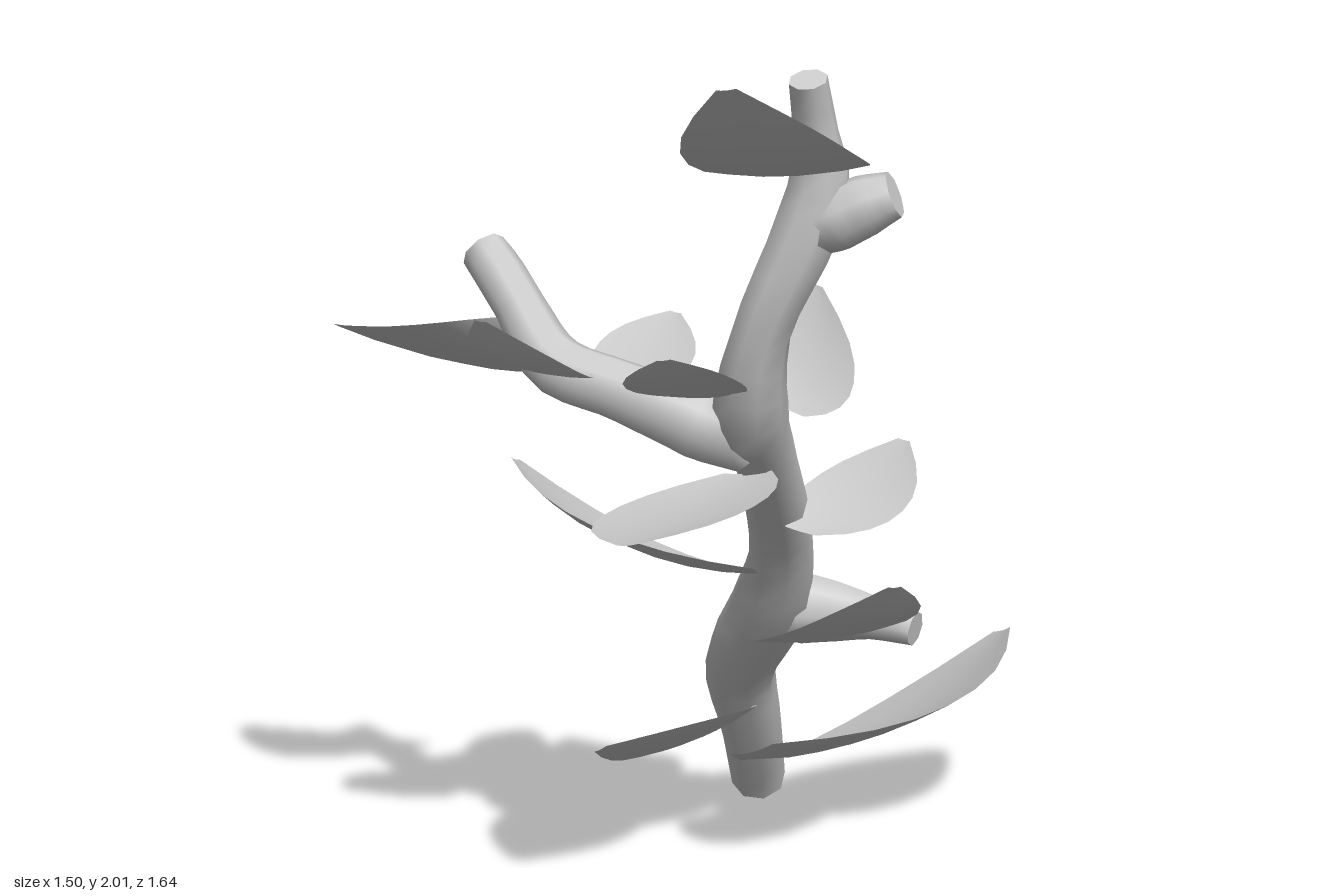
import * as THREE from 'three';
import { toCreasedNormals } from 'three/addons/utils/BufferGeometryUtils.js';

const grey = new THREE.MeshStandardMaterial({ color: 0xcccccc });
const leafGrey = new THREE.MeshStandardMaterial({ color: 0xcccccc, side: THREE.DoubleSide });
const vec = (p) => new THREE.Vector3(p[0], p[1], p[2]);

// Tapered limb through points [x, y, z, radius], with flat closed ends
function limb(name, points, sides = 8) {
  const curve = new THREE.CatmullRomCurve3(points.map(vec), false, 'centripetal');
  const seg = points.length * 3;
  const geo = new THREE.TubeGeometry(curve, seg, 1, sides, false);
  const pos = geo.attributes.position;
  const v = new THREE.Vector3();
  for (let i = 0; i <= seg; i++) {
    // first and last rings collapse to the centre of their neighbours as caps
    const u = THREE.MathUtils.clamp((i - 1) / (seg - 2), 0, 1);
    const oldCentre = curve.getPointAt(i / seg);
    const centre = curve.getPointAt(u);
    const t = curve.getUtoTmapping(u) * (points.length - 1);
    const k = Math.min(Math.floor(t), points.length - 2);
    const isCap = i === 0 || i === seg;
    const r = isCap ? 0 : THREE.MathUtils.lerp(points[k][3], points[k + 1][3], t - k);
    for (let j = 0; j <= sides; j++) {
      const n = i * (sides + 1) + j;
      v.fromBufferAttribute(pos, n).sub(oldCentre).multiplyScalar(r).add(centre);
      pos.setXYZ(n, v.x, v.y, v.z);
    }
  }
  const mesh = new THREE.Mesh(toCreasedNormals(geo, 1), grey);
  mesh.name = name;
  return mesh;
}

// Bowed leaf blade from its base, tip and the two widest edge points
const WIDTH = [0.32, 0.66, 0.87, 0.98, 1, 0.94, 0.78, 0.5, 0.12];
function leaf(name, base, tip, left, right) {
  const B = vec(base), T = vec(tip), L = vec(left), R = vec(right);
  const mid = L.clone().add(R).multiplyScalar(0.5);
  const half = L.clone().sub(R).multiplyScalar(0.5);
  const control = mid.clone().multiplyScalar(2).addScaledVector(B, -0.5).addScaledVector(T, -0.5);
  const rib = new THREE.QuadraticBezierCurve3(B, control, T);
  const dip = half.clone().cross(T.clone().sub(B)).normalize();
  if (dip.y > 0) dip.negate();
  const rows = WIDTH.length - 1, cols = 4;
  const geo = new THREE.PlaneGeometry(1, 1, cols, rows);
  for (let i = 0; i <= rows; i++) {
    for (let j = 0; j <= cols; j++) {
      const s = (j / cols) * 2 - 1;
      const p = rib.getPoint(i / rows).addScaledVector(half, s * WIDTH[i]);
      p.addScaledVector(dip, 0.08 * half.length() * (1 - s * s) * WIDTH[i]);
      geo.attributes.position.setXYZ(i * (cols + 1) + j, p.x, p.y, p.z);
    }
  }
  geo.computeVertexNormals();
  const mesh = new THREE.Mesh(geo, leafGrey);
  mesh.name = name;
  return mesh;
}

export function createModel() {
  const model = new THREE.Group();
  model.name = 'leafyBranch';

  // Woody parts
  model.add(
    limb('mainStem', [
      [-0.315, 0.035, -0.415, 0.068], [-0.24, 0.22, -0.3, 0.075],
      [-0.17, 0.42, -0.18, 0.09], [-0.01, 0.61, -0.1, 0.098], [0.11, 0.8, 0.0, 0.075],
      [0.23, 1.04, 0.19, 0.07], [0.29, 1.2, 0.32, 0.088], [0.365, 1.4, 0.365, 0.066],
      [0.45, 1.62, 0.32, 0.078], [0.48, 1.74, 0.305, 0.072], [0.49, 1.84, 0.335, 0.05], [0.51, 1.965, 0.385, 0.043],
    ]),
    limb('sideBranch', [
      [0.25, 1.1, 0.28, 0.06], [0.19, 1.16, 0.36, 0.088], [0.02, 1.228, 0.45, 0.07],
      [-0.13, 1.278, 0.505, 0.07], [-0.24, 1.39, 0.5, 0.058], [-0.32, 1.465, 0.49, 0.058], [-0.37, 1.505, 0.485, 0.054],
    ]),
    limb('lowerStub', [
      [-0.02, 0.605, -0.105, 0.07], [0.04, 0.6, -0.15, 0.09], [0.12, 0.595, -0.195, 0.074],
      [0.2, 0.59, -0.225, 0.055], [0.31, 0.575, -0.255, 0.042],
    ]),
    limb('upperStub', [
      [0.45, 1.61, 0.33, 0.05], [0.51, 1.65, 0.295, 0.072], [0.57, 1.685, 0.26, 0.068], [0.625, 1.71, 0.23, 0.052],
    ]),
  );

  // Leaves: base, tip, left edge, right edge
  const leaves = {
    lowestBackLeaf: [[-0.12, 0.21, -0.16], [0.14, 0.42, -0.82], [0.26, 0.33, -0.45], [-0.25, 0.115, -0.55]],
    lowestFrontLeaf: [[-0.22, 0.27, -0.21], [-0.24, 0.285, 0.25], [-0.06, 0.345, -0.03], [-0.39, 0.16, -0.05]],
    largeRightLeaf: [[0.07, 0.73, 0.02], [-0.4, 0.99, 0.36], [-0.11, 0.88, 0.4], [-0.395, 0.69, -0.13]],
    lowerLeftLeaf: [[0.13, 0.585, 0.07], [0.53, 0.79, 0.1], [0.36, 0.69, 0.23], [0.35, 0.62, -0.17]],
    middleBackLeaf: [[0.27, 0.88, 0.12], [0.37, 1.065, -0.13], [0.455, 0.93, -0.02], [0.2, 0.96, 0.015]],
    middleFrontLeaf: [[0.25, 1.045, 0.28], [0.3, 0.975, 0.74], [0.43, 1.03, 0.47], [0.03, 0.955, 0.52]],
    forkBackLeaf: [[0.35, 1.2, 0.26], [0.29, 1.45, 0.09], [0.47, 1.265, 0.175], [0.19, 1.33, 0.19]],
    forkFrontLeaf: [[0.27, 1.24, 0.38], [0.34, 1.375, 0.66], [0.42, 1.32, 0.52], [0.12, 1.26, 0.54]],
    branchBackLeaf: [[-0.04, 1.21, 0.41], [-0.11, 1.34, 0.12], [0.06, 1.26, 0.26], [-0.21, 1.28, 0.27]],
    branchFrontLeaf: [[-0.07, 1.275, 0.51], [-0.06, 1.43, 0.81], [0.08, 1.31, 0.65], [-0.21, 1.31, 0.66]],
    branchEndLeaf: [[-0.28, 1.34, 0.46], [-0.75, 1.29, 0.575], [-0.45, 1.35, 0.7], [-0.41, 1.19, 0.33]],
    topLeaf: [[0.57, 1.785, 0.37], [0.64, 2.0, 0.8], [0.75, 1.85, 0.53], [0.35, 1.79, 0.59]],
  };
  for (const [name, points] of Object.entries(leaves)) model.add(leaf(name, ...points));
  return model;
}
